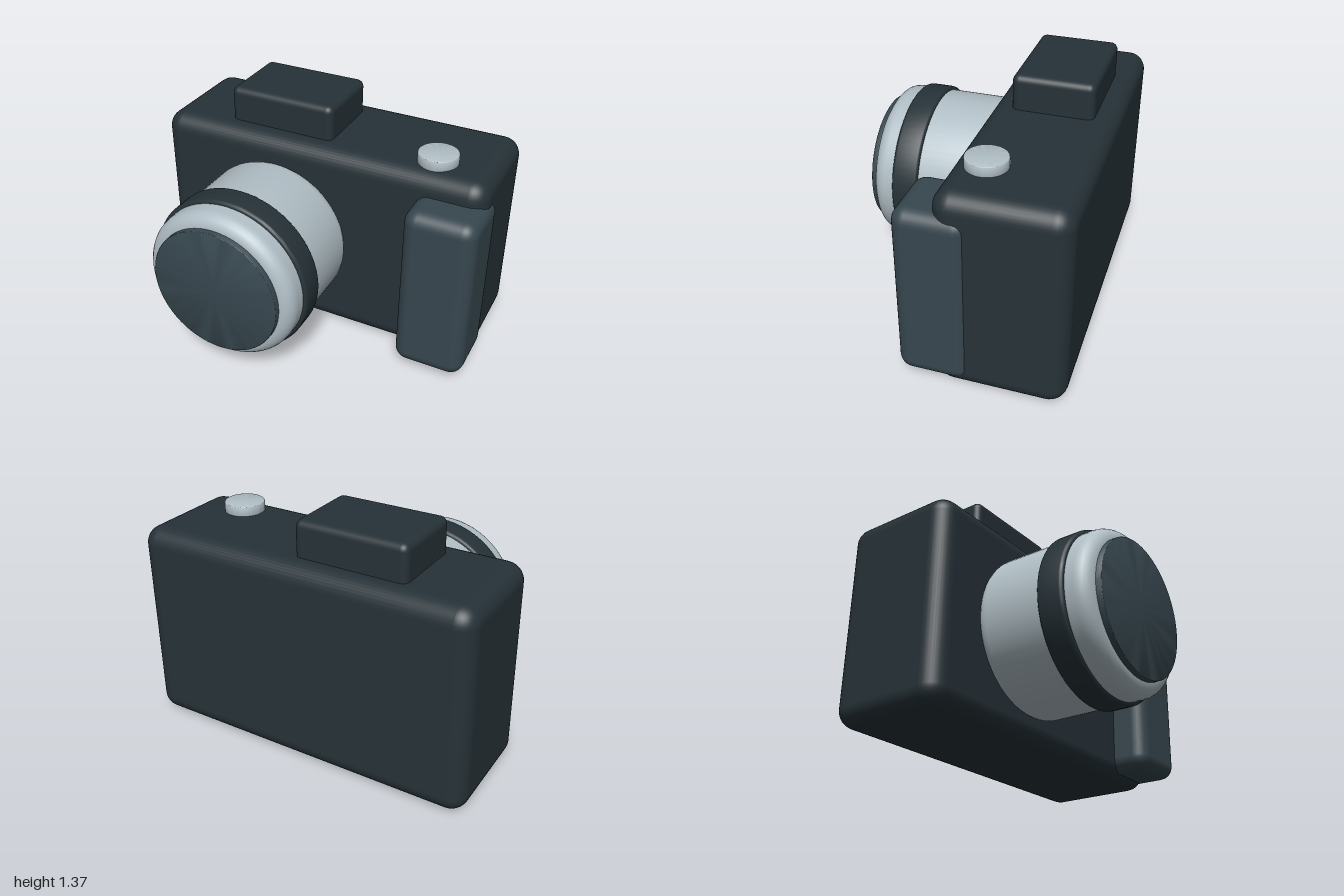
import * as THREE from 'three';
import { RoundedBoxGeometry } from 'three/addons/geometries/RoundedBoxGeometry.js';
import { toCreasedNormals } from 'three/addons/utils/BufferGeometryUtils.js';

const paint = (color) => new THREE.MeshStandardMaterial({ color });

// Rounded box given by its lowest and highest corners
function roundedBox(name, min, max, radius, material) {
  const size = max.map((v, i) => v - min[i]);
  const mesh = new THREE.Mesh(new RoundedBoxGeometry(...size, 4, radius), material);
  mesh.name = name;
  mesh.position.set(...max.map((v, i) => (v + min[i]) / 2));
  return mesh;
}

// Closed disc or drum along y from y0 to y1, with rounded rims
function drum(name, r, y0, y1, rim, material, steps = 4) {
  const points = [new THREE.Vector2(0, y0)];
  for (const [y, start] of [[y0 + rim, -Math.PI / 2], [y1 - rim, 0]]) {
    for (let i = 0; i <= steps; i++) {
      const a = start + (i / steps) * (Math.PI / 2);
      points.push(new THREE.Vector2(r - rim + rim * Math.cos(a), y + rim * Math.sin(a)));
    }
  }
  points.push(new THREE.Vector2(0, y1));
  const geometry = toCreasedNormals(new THREE.LatheGeometry(points, 64), 0.7);
  const mesh = new THREE.Mesh(geometry, material);
  mesh.name = name;
  return mesh;
}

export function createModel() {
  const model = new THREE.Group();
  model.name = 'camera';
  const dark = paint(0x263238);
  const slate = paint(0x37474f);
  const silver = paint(0xb0bec5);

  // Body, hand grip and viewfinder hump
  model.add(
    roundedBox('body', [-1, 0, -0.7], [0.98, 1.167, 0], 0.1, dark),
    roundedBox('grip', [0.595, 0.043, -0.2], [1, 1.047, 0.2], 0.08, slate),
    roundedBox('viewfinder', [-0.6, 1.08, -0.58], [0.04, 1.365, -0.125], 0.04, dark)
  );

  // Shutter button
  const button = drum('shutterButton', 0.113, 1.14, 1.223, 0.008, silver);
  button.position.set(0.647, 0, -0.188);
  model.add(button);

  // Lens, built along y and turned to face forward
  const lens = new THREE.Group();
  lens.name = 'lens';
  lens.add(
    drum('lensBarrel', 0.455, -0.03, 0.668, 0.08, silver, 6),
    drum('focusRing', 0.475, 0.38, 0.535, 0.02, dark),
    drum('frontGlass', 0.381, 0.6, 0.7, 0.005, slate)
  );
  lens.rotation.x = Math.PI / 2;
  lens.position.set(-0.25, 0.575, 0);
  model.add(lens);

  return model;
}
